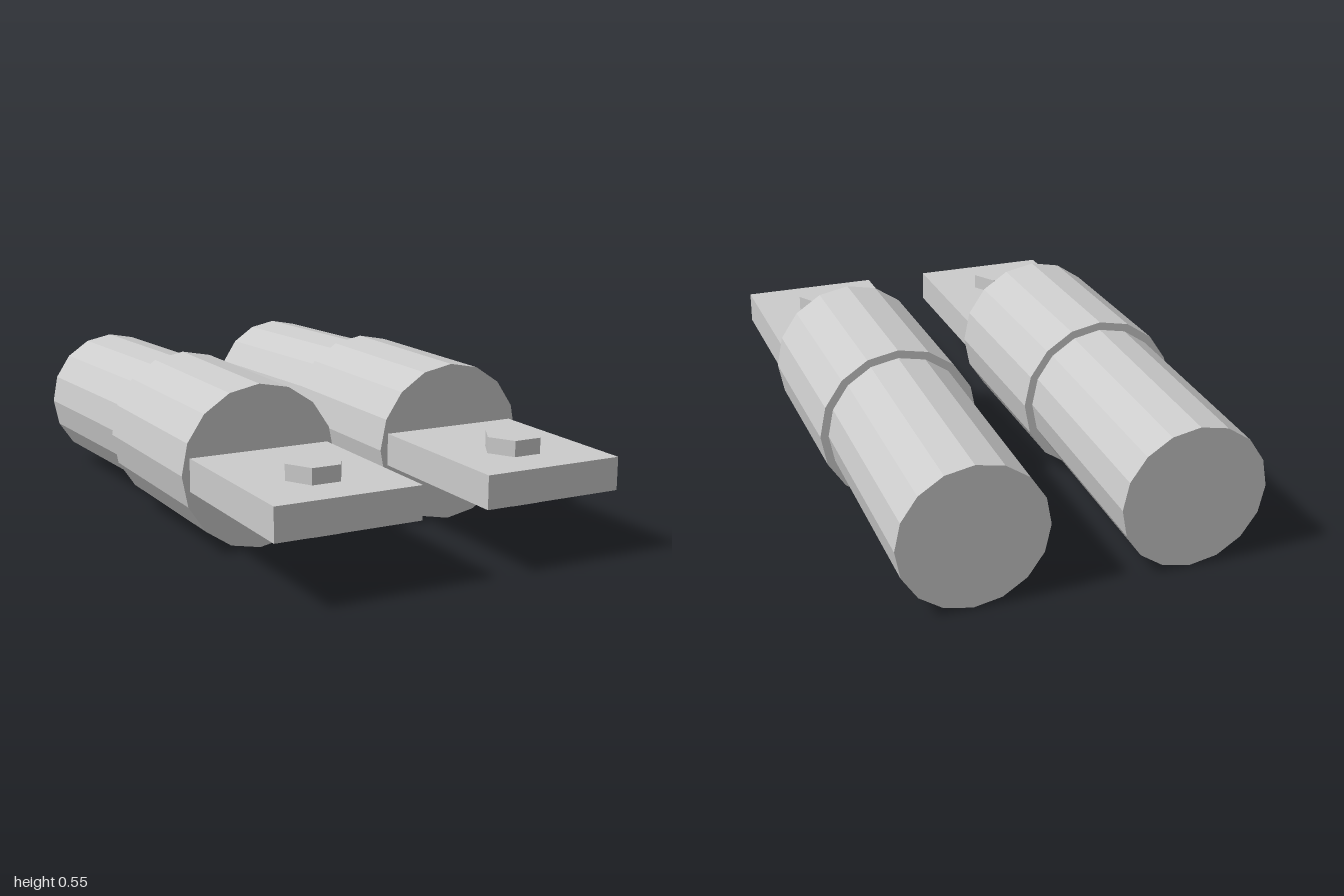
import * as THREE from 'three';

const material = new THREE.MeshStandardMaterial({ color: 0xcccccc, flatShading: true });

function addMesh(parent, name, geometry, x, y, z) {
  const mesh = new THREE.Mesh(geometry, material);
  mesh.name = name;
  mesh.position.set(x, y, z);
  parent.add(mesh);
  return mesh;
}

// Sixteen-sided cylinder lying along z
function rod(radius, length) {
  return new THREE.CylinderGeometry(radius, radius, length, 16).rotateX(Math.PI / 2);
}

function createLug(name) {
  const lug = new THREE.Group();
  lug.name = name;
  const axisY = 0.277;

  // Thick collar in the middle
  addMesh(lug, 'collar', rod(0.275, 0.635), 0, axisY, 0.0775);

  // Slightly drooping cable, its front end buried in the collar
  const cable = addMesh(lug, 'cable', rod(0.247, 0.85).translate(0, 0, -0.325), 0, axisY, -0.24);
  cable.rotation.x = -0.034;

  // Flat terminal plate, running a little into the collar
  addMesh(lug, 'terminalPlate', new THREE.BoxGeometry(0.494, 0.11, 0.62), 0, axisY + 0.001, 0.69);

  // Hexagonal bolt through the plate
  const hex = new THREE.CylinderGeometry(0.097, 0.097, 0.216, 6).rotateY(Math.PI / 2);
  addMesh(lug, 'hexBolt', hex, 0, axisY + 0.001, 0.77);
  return lug;
}

export function createModel() {
  const model = new THREE.Group();
  model.name = 'cableLugPair';
  for (const side of [1, -1]) {
    const lug = createLug(side > 0 ? 'leftLug' : 'rightLug');
    lug.position.x = side * 0.364;
    model.add(lug);
  }
  return model;
}
